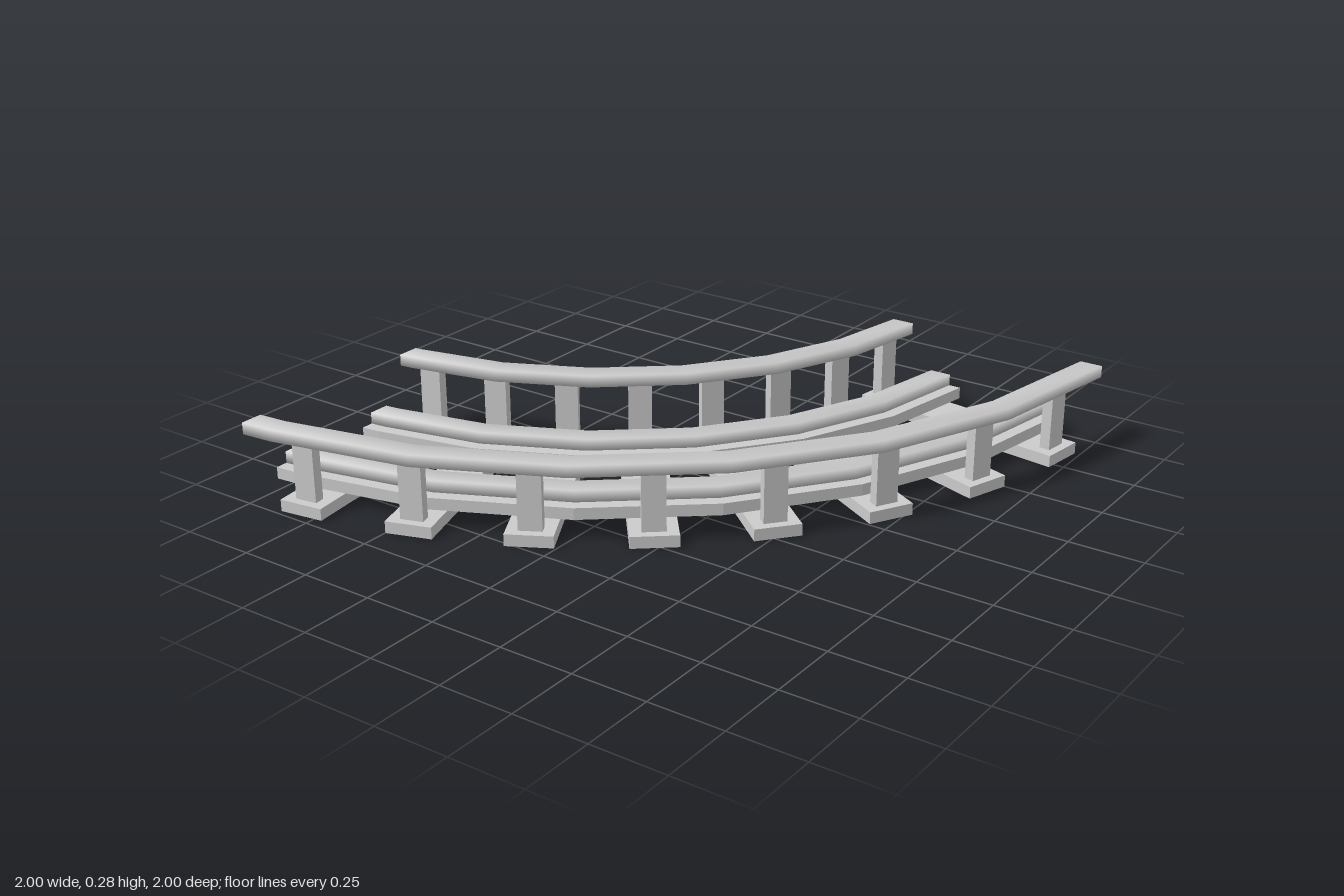
import * as THREE from 'three';

const C = -1.08; // centre of the bend in x and z
const grey = new THREE.MeshStandardMaterial({ color: 0xcccccc });
const flatGrey = new THREE.MeshStandardMaterial({ color: 0xcccccc, flatShading: true });
const rad = THREE.MathUtils.degToRad;

// Ground position along the bend: straight-cut ends at z = -1 and x = -1, faceted arc between
const BENDS = 6;
function station(i, r) {
  if (i === 0) return [C + r, -1];
  if (i === BENDS + 1) return [-1, C + r];
  const a = rad(16.5 + 13.65 * (i - 1));
  return [C + r * Math.cos(a), C + r * Math.sin(a)];
}

// Rectangular bar swept along the bend
function sweptBar(name, r, width, y0, y1, material) {
  const h = width / 2;
  const corners = [[r - h, y0], [r + h, y0], [r + h, y1], [r - h, y1]];
  const pos = [], index = [];
  const addRing = (i) => {
    for (const [cr, y] of corners) {
      const [x, z] = station(i, cr);
      pos.push(x, y, z);
    }
  };
  const last = BENDS + 1;
  for (let i = 0; i <= last; i++) addRing(i);
  for (let i = 0; i < last; i++) {
    for (let j = 0; j < 4; j++) {
      const a = i * 4 + j, b = i * 4 + (j + 1) % 4;
      index.push(a, b, b + 4, a, b + 4, a + 4);
    }
  }
  // End caps with their own vertices
  const s = pos.length / 3;
  addRing(0);
  addRing(last);
  index.push(s, s + 2, s + 1, s, s + 3, s + 2);
  index.push(s + 4, s + 5, s + 6, s + 4, s + 6, s + 7);

  const geo = new THREE.BufferGeometry();
  geo.setAttribute('position', new THREE.Float32BufferAttribute(pos, 3));
  geo.setIndex(index);
  geo.computeVertexNormals();
  const mesh = new THREE.Mesh(geo, material);
  mesh.name = name;
  return mesh;
}

function box(name, length, height, width, r, y) {
  const mesh = new THREE.Mesh(new THREE.BoxGeometry(length, height, width), flatGrey);
  mesh.name = name;
  mesh.position.set(r, y, 0);
  return mesh;
}

export function createModel() {
  const model = new THREE.Group();
  model.name = 'curvedTrack';

  // Running rails: wide foot with a narrower head
  for (const [side, r] of [['inner', 1.477], ['outer', 1.873]]) {
    model.add(sweptBar(side + 'RailFoot', r, 0.16, 0.04, 0.08, flatGrey));
    model.add(sweptBar(side + 'RailHead', r, 0.075, 0.08, 0.12, grey));
  }

  // Handrails
  model.add(sweptBar('innerHandrail', 1.318, 0.078, 0.24, 0.28, grey));
  model.add(sweptBar('outerHandrail', 2.041, 0.078, 0.24, 0.28, grey));

  // Cross ties, each carrying a handrail post at either end
  for (let k = 0; k < 8; k++) {
    const tie = new THREE.Group();
    tie.name = 'tieWithPosts';
    tie.position.set(C, 0, C);
    tie.rotation.y = -rad(7.8 + 10.63 * k);
    tie.add(box('crossTie', 0.79, 0.04, 0.155, 1.675, 0.02));
    tie.add(box('innerPost', 0.037, 0.202, 0.077, 1.317, 0.14));
    tie.add(box('outerPost', 0.037, 0.202, 0.077, 2.022, 0.14));
    model.add(tie);
  }
  return model;
}
